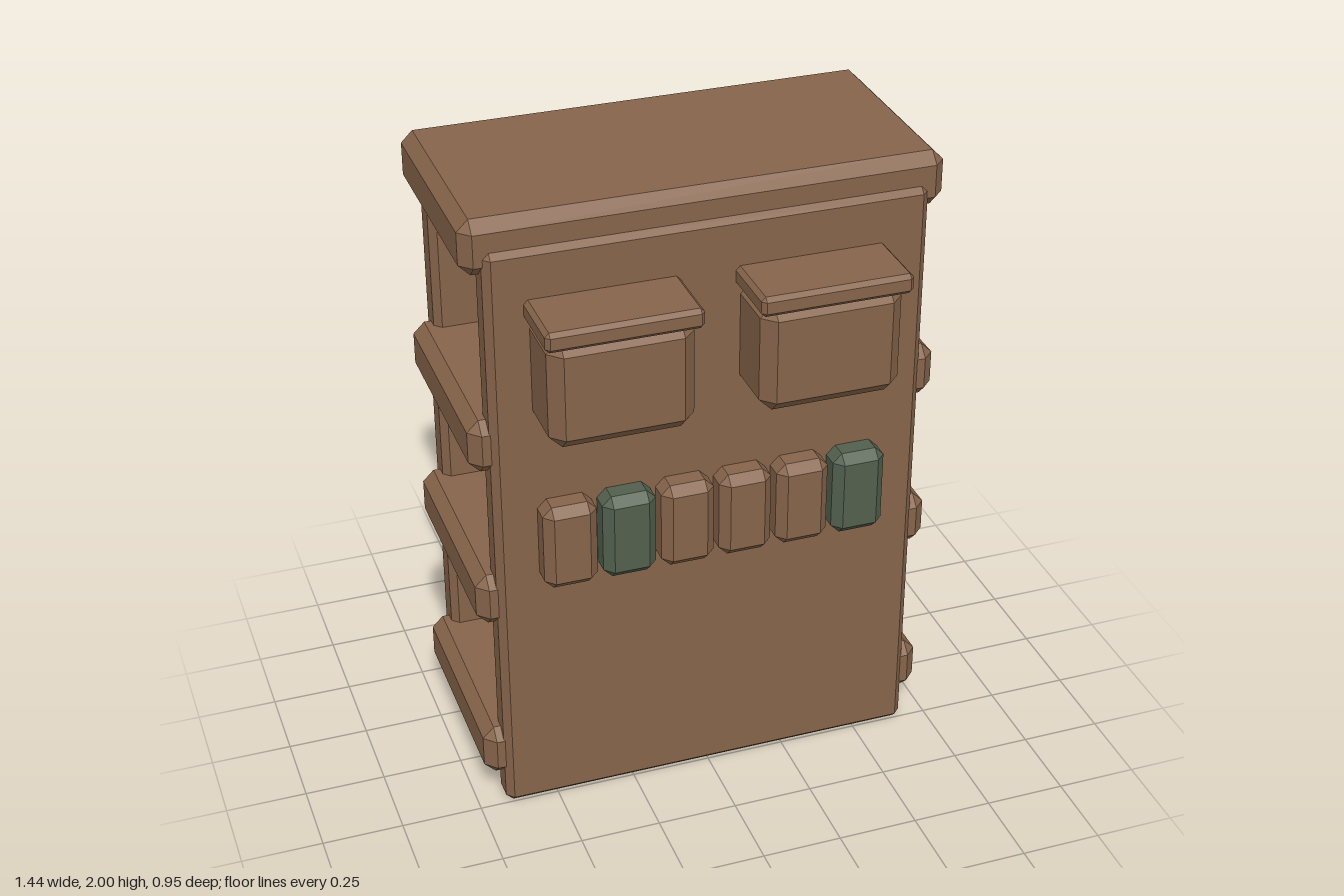
import * as THREE from 'three';
import { ConvexGeometry } from 'three/addons/geometries/ConvexGeometry.js';

const material = (name, color) => {
  const m = new THREE.MeshStandardMaterial({ color });
  m.name = name;
  return m;
};

// Box with every edge cut by a flat chamfer c
function chamferBox(w, h, d, c) {
  const [x, y, z] = [w / 2, h / 2, d / 2];
  const points = [];
  for (const i of [-1, 1]) for (const j of [-1, 1]) for (const k of [-1, 1]) {
    points.push(
      new THREE.Vector3(i * x, j * (y - c), k * (z - c)),
      new THREE.Vector3(i * (x - c), j * y, k * (z - c)),
      new THREE.Vector3(i * (x - c), j * (y - c), k * z));
  }
  return new ConvexGeometry(points);
}

export function createModel() {
  const model = new THREE.Group();
  model.name = 'shelfUnit';
  const wood = material('brown wood', 0x86644a);
  const green = material('dark green', 0x52604e);

  // Adds a chamfered block spanning the given [min, max] ranges
  function block(name, [x0, x1], [y0, y1], [z0, z1], c, mat = wood) {
    const mesh = new THREE.Mesh(chamferBox(x1 - x0, y1 - y0, z1 - z0, c), mat);
    mesh.position.set((x0 + x1) / 2, (y0 + y1) / 2, (z0 + z1) / 2);
    mesh.name = name;
    model.add(mesh);
  }

  // Upright panels
  block('frontPanel', [-0.665, 0.665], [0, 1.91], [0.155, 0.26], 0.022);
  block('backPanel', [-0.665, 0.665], [0, 1.91], [-0.475, -0.363], 0.022);

  // Shelves and top board, projecting past the panels at both ends
  [0.1, 0.665, 1.197, 1.83].forEach((y, i) =>
    block(i === 3 ? 'topBoard' : `shelf${i + 1}`, [-0.722, 0.722], [y, y + 0.17], [-0.452, 0.242], 0.035));

  // Two large lidded boxes set through the front panel
  [-0.325, 0.3].forEach((x, i) => {
    block(`canister${i + 1}`, [x - 0.215, x + 0.215], [1.362, 1.705], [0.1, 0.457], 0.04);
    block(`canisterLid${i + 1}`, [x - 0.23, x + 0.23], [1.693, 1.755], [0.085, 0.475], 0.013);
  });

  // Row of six small jars
  for (let i = 0; i < 6; i++) {
    const x = -0.455 + i * 0.181;
    block(`jar${i + 1}`, [x - 0.082, x + 0.082], [0.82, 1.098], [0.125, 0.341], 0.028,
      i === 1 || i === 5 ? green : wood);
  }
  return model;
}
